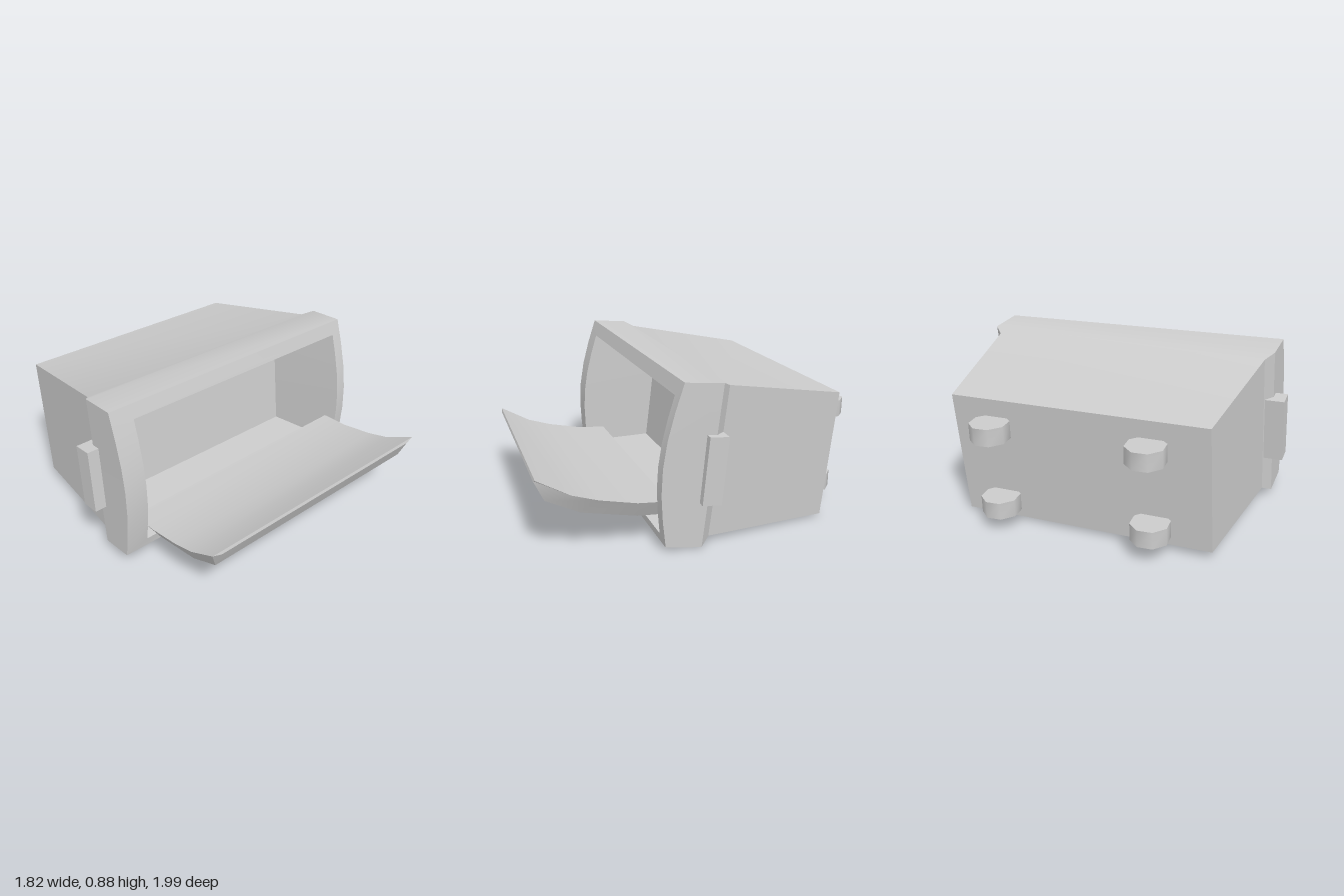
import * as THREE from 'three';
import { toCreasedNormals } from 'three/addons/utils/BufferGeometryUtils.js';

const material = new THREE.MeshStandardMaterial({ color: 0xcccccc });

function add(parent, name, geometry, x = 0, y = 0, z = 0) {
  const mesh = new THREE.Mesh(geometry, material);
  mesh.name = name;
  mesh.position.set(x, y, z);
  parent.add(mesh);
  return mesh;
}

// Skin a series of rings. Each ring runs along one side and back along the
// other, so both end caps are strips between the two sides.
function loft(rings) {
  const m = rings[0].length;
  const index = [];
  const quad = (a, b, c, d) => index.push(a, b, c, a, c, d);
  for (let k = 0; k < rings.length - 1; k++) {
    for (let i = 0; i < m; i++) {
      const j = (i + 1) % m;
      quad(k * m + i, (k + 1) * m + i, (k + 1) * m + j, k * m + j);
    }
  }
  const end = (rings.length - 1) * m;
  for (let i = 0; i < m / 2 - 1; i++) {
    quad(i, i + 1, m - 2 - i, m - 1 - i);
    quad(end + m - 1 - i, end + m - 2 - i, end + i + 1, end + i);
  }
  const geometry = new THREE.BufferGeometry();
  geometry.setAttribute('position', new THREE.Float32BufferAttribute(rings.flat(2), 3));
  geometry.setIndex(index);
  return toCreasedNormals(geometry.toNonIndexed(), 0.5);
}

// Rectangular section, leaning from bottom to top and bowed forward by bulge
function section([x0, x1, yBottom, zBottom, yTop, zTop, bulge]) {
  const levels = 6;
  const side = (x) => Array.from({ length: levels + 1 }, (_, i) => {
    const t = i / levels;
    return [x, THREE.MathUtils.lerp(yBottom, yTop, t),
      THREE.MathUtils.lerp(zBottom, zTop, t) + bulge * Math.sin(Math.PI * t)];
  });
  return [...side(x0), ...side(x1).reverse()];
}

export function createModel() {
  const model = new THREE.Group();
  model.name = 'openBox';
  model.rotation.y = 0.335;

  // Hollow case: tapered body, raised front rim, then the recess
  const box = new THREE.Group();
  box.name = 'case';
  box.rotation.z = -0.022;
  model.add(box);
  add(box, 'caseShell', loft([
    [-0.714, 0.63, 0.024, -0.69, 0.695, -0.756, 0],    // back
    [-0.80, 0.73, 0.046, 0.0, 0.816, -0.09, 0],        // end of body
    [-0.84, 0.78, 0.017, 0.056, 0.842, -0.04, 0],      // rim back edge
    [-0.845, 0.772, 0.04, 0.24, 0.858, 0.155, 0.06],   // rim front edge
    [-0.72, 0.71, 0.09, 0.25, 0.785, 0.18, 0.045],     // opening
    [-0.71, 0.63, 0.10, -0.15, 0.74, -0.22, 0],        // recess back wall
  ].map(section)));

  // Slim grips on both sides of the rim
  for (const [name, x] of [['leftGrip', 0.765], ['rightGrip', -0.855]]) {
    add(box, name, new THREE.BoxGeometry(0.1, 0.345, 0.1), x, 0.42, 0.005).rotation.x = -0.09;
  }

  // Four octagonal pegs half sunk into the back
  const peg = toCreasedNormals(new THREE.CylinderGeometry(0.1, 0.1, 0.09, 8), 0.9);
  for (const x of [-0.425, 0.39]) {
    add(box, 'upperPeg', peg, x, 0.556, -0.815).rotation.y = -0.335;
    add(box, 'lowerPeg', peg, x, 0.131, -0.765).rotation.y = -0.335;
  }

  // Open flap: curved shell with bevelled ends, hinged low in the opening
  const outer = [[-0.03, 0.13], [0.12, 0.137], [0.40, 0.19], [0.57, 0.27], [0.62, 0.375]];
  const inner = [[-0.03, 0.212], [0.13, 0.222], [0.32, 0.26], [0.45, 0.30], [0.615, 0.39]];
  const flapRing = (s) => [
    ...outer.map(([z, y]) => [s * 0.66, y, z]),
    ...inner.map(([z, y]) => [s * 0.71, y, z]).reverse(),
  ];
  const flap = add(model, 'flap', loft([flapRing(-1), flapRing(1)]), 0, 0, 0.2);
  flap.rotation.set(0, -0.035, 0.027);

  return model;
}
